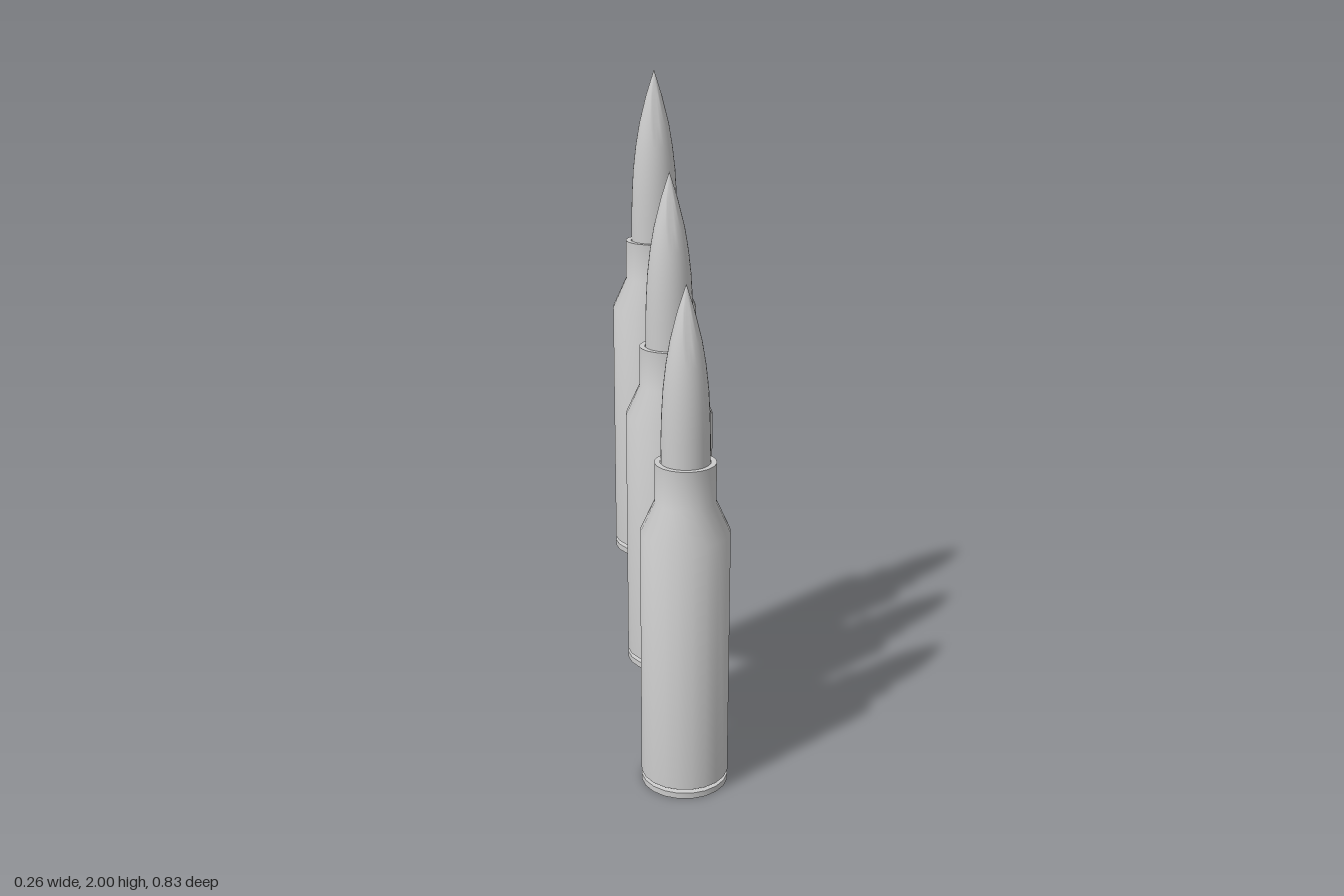
import * as THREE from 'three';
import { toCreasedNormals } from 'three/addons/utils/BufferGeometryUtils.js';

const material = new THREE.MeshStandardMaterial({ color: 0xcccccc });

// Turned part from a bottom-to-top profile of [radius, height] pairs
function turned(name, profile, sides) {
  const points = profile.map(([r, y]) => new THREE.Vector2(r, y));
  const geometry = toCreasedNormals(new THREE.LatheGeometry(points, sides), 0.6);
  const mesh = new THREE.Mesh(geometry, material);
  mesh.name = name;
  return mesh;
}

function createCartridge() {
  const cartridge = new THREE.Group();
  cartridge.name = 'cartridge';

  // Flat base with the extractor rim
  cartridge.add(turned('rim', [[0, 0], [0.128, 0], [0.128, 0.018], [0.112, 0.02]], 20));

  // Groove, straight wall, shoulder, neck and open mouth
  cartridge.add(turned('case', [
    [0.112, 0.02], [0.112, 0.027], [0.128, 0.03], [0.128, 0.785],
    [0.087, 0.875], [0.087, 0.99], [0.071, 0.99], [0.071, 0.95],
  ], 20));

  // Pointed projectile seated in the neck
  cartridge.add(turned('bullet', [
    [0.069, 0.94], [0.069, 1.06], [0.067, 1.13], [0.063, 1.2],
    [0.055, 1.27], [0.044, 1.335], [0.024, 1.415], [0, 1.49],
  ], 32));
  return cartridge;
}

export function createModel() {
  const model = new THREE.Group();
  model.name = 'cartridges';
  // Three cartridges stepping up toward the back
  for (let i = 0; i < 3; i++) {
    const cartridge = createCartridge();
    cartridge.position.set(0, 0.255 * i, 0.285 * (1 - i));
    model.add(cartridge);
  }
  return model;
}
